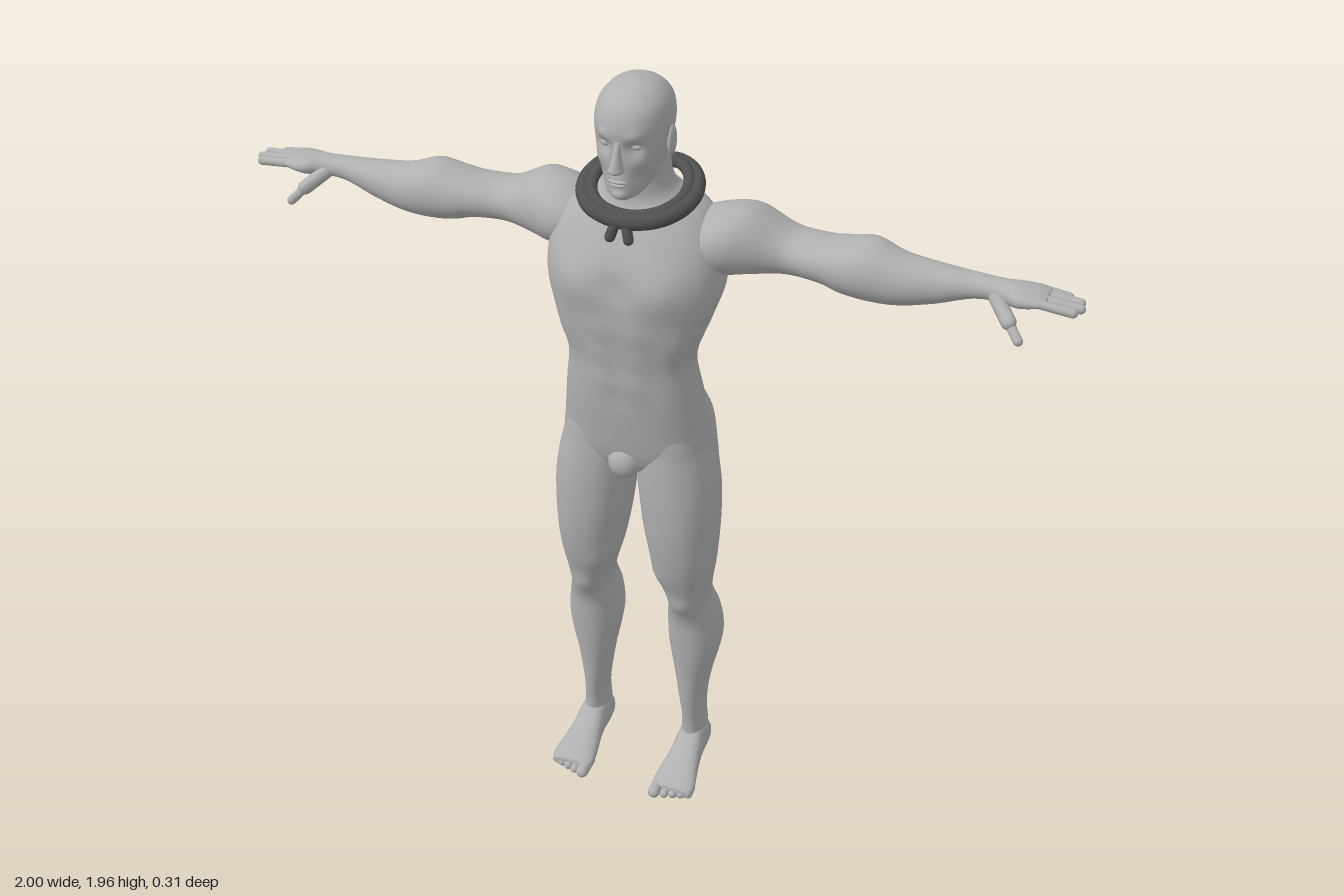
import * as THREE from 'three';

const skin = new THREE.MeshStandardMaterial({ color: 0xb0b0b0 });
skin.name = 'light grey';
const dark = new THREE.MeshStandardMaterial({ color: 0x505050 });
dark.name = 'dark grey';

// Where a ring point (t along the axis, u and v across it) lands in space
const AXES = {
  x: (t, u, v) => new THREE.Vector3(t, u, v),
  y: (t, u, v) => new THREE.Vector3(v, t, u),
  z: (t, u, v) => new THREE.Vector3(u, v, t),
};

// Smooth loft through sections [t, uMin, uMax, vMin, vMax], t ascending.
// Bumps [x, y, z, radius, amount] swell or dent the surface, the same on both sides.
function loft(axis, sections, { power = 2.2, segs = 40, steps = 5, bumps = [] } = {}) {
  const pos = [], idx = [], n = sections.length, rows = (n - 1) * steps + 1;
  const at = (i, k) => sections[Math.min(n - 1, Math.max(0, i))][k];
  const spline = (i, f, k) => {
    const a = at(i - 1, k), b = at(i, k), c = at(i + 1, k), d = at(i + 2, k);
    return b + 0.5 * f * (c - a + f * (2 * a - 5 * b + 4 * c - d + f * (3 * (b - c) + d - a)));
  };
  const round = (s) => Math.sign(s) * Math.abs(s) ** (2 / power);
  const centers = [];
  for (let r = 0; r < rows; r++) {
    const i = Math.min(n - 2, Math.floor(r / steps)), f = r / steps - i;
    const [t, u0, u1, v0, v1] = [0, 1, 2, 3, 4].map((k) => spline(i, f, k));
    const center = AXES[axis](t, (u0 + u1) / 2, (v0 + v1) / 2);
    centers.push(center);
    for (let s = 0; s < segs; s++) {
      const a = (s / segs) * Math.PI * 2;
      const p = AXES[axis](t, (u0 + u1) / 2 + ((u1 - u0) / 2) * round(Math.cos(a)),
        (v0 + v1) / 2 + ((v1 - v0) / 2) * round(Math.sin(a)));
      const out = p.clone().sub(center).normalize();
      let push = 0;
      for (const [x, y, z, radius, amount] of bumps) {
        const d2 = (Math.abs(p.x) - x) ** 2 + (p.y - y) ** 2 + (p.z - z) ** 2;
        push += amount * Math.exp(-d2 / (radius * radius));
      }
      p.addScaledVector(out, push);
      pos.push(p.x, p.y, p.z);
      if (r < rows - 1) {
        const q = r * segs + s, e = r * segs + ((s + 1) % segs);
        idx.push(q, e, q + segs, e, e + segs, q + segs);
      }
    }
  }
  // End caps
  const last = (rows - 1) * segs, c0 = rows * segs;
  pos.push(...centers[0].toArray(), ...centers[rows - 1].toArray());
  for (let s = 0; s < segs; s++) {
    const e = (s + 1) % segs;
    idx.push(c0, e, s, c0 + 1, last + s, last + e);
  }
  const g = new THREE.BufferGeometry();
  g.setAttribute('position', new THREE.Float32BufferAttribute(pos, 3));
  g.setIndex(idx);
  g.computeVertexNormals();
  return g;
}

// Rounded rod between two points
function rod(a, b, radius) {
  const A = new THREE.Vector3(...a), B = new THREE.Vector3(...b), d = B.clone().sub(A);
  const g = new THREE.CapsuleGeometry(radius, d.length(), 6, 14);
  g.applyQuaternion(new THREE.Quaternion().setFromUnitVectors(new THREE.Vector3(0, 1, 0), d.normalize()));
  return g.translate(...A.add(B).multiplyScalar(0.5).toArray());
}

function ellipsoid(x, y, z, rx, ry, rz) {
  return new THREE.SphereGeometry(1, 24, 16).scale(rx, ry, rz).translate(x, y, z);
}

// Copy on the other side of the body, with the corner order turned round
function mirrored(geometry) {
  const g = geometry.clone().scale(-1, 1, 1), i = g.index.array;
  for (let k = 0; k < i.length; k += 3) [i[k], i[k + 1]] = [i[k + 1], i[k]];
  g.computeVertexNormals();
  return g;
}

export function createModel() {
  const model = new THREE.Group();
  model.name = 'figure';
  const add = (name, geometry, material = skin) => {
    const mesh = new THREE.Mesh(geometry, material);
    mesh.name = name;
    model.add(mesh);
  };
  const pair = (name, geometry, material) => {
    add('left ' + name, geometry, material);
    add('right ' + name, mirrored(geometry), material);
  };
  const symmetric = (rows) => rows.map(([y, back, front, half]) => [y, back, front, -half, half]);

  // Torso and neck, with chest, stomach, shoulder blades and spine groove
  const muscles = [[0.09, 1.5, 0.12, 0.06, 0.016], [0, 1.5, 0.13, 0.03, -0.008],
    [0.1, 1.5, -0.12, 0.06, 0.014], [0, 1.21, 0.12, 0.015, -0.006], [0.12, 1.36, 0.08, 0.04, 0.008]];
  for (let y = 1.12; y < 1.6; y += 0.05) muscles.push([0, y, -0.11, 0.035, -0.01]);
  for (const y of [1.39, 1.32, 1.25]) muscles.push([0.04, y, 0.13, 0.03, 0.006]);
  add('torso', loft('y', symmetric([
    [0.965, -0.06, 0.05, 0.03], [0.985, -0.09, 0.08, 0.1], [1.03, -0.11, 0.098, 0.175],
    [1.1, -0.118, 0.11, 0.175], [1.2, -0.092, 0.122, 0.162], [1.3, -0.072, 0.127, 0.152],
    [1.4, -0.1, 0.138, 0.184], [1.48, -0.135, 0.138, 0.207], [1.55, -0.145, 0.126, 0.205],
    [1.61, -0.145, 0.098, 0.185], [1.655, -0.132, 0.07, 0.15], [1.685, -0.108, 0.056, 0.098],
    [1.72, -0.085, 0.056, 0.074], [1.79, -0.075, 0.06, 0.066]]),
  { power: 2.4, segs: 72, bumps: muscles }));
  add('groin', ellipsoid(0, 1.01, 0.082, 0.04, 0.045, 0.034));

  // Head with brow, eye sockets, cheeks, lips and chin
  add('head', loft('y', symmetric([
    [1.708, 0.04, 0.098, 0.02], [1.722, 0.0, 0.112, 0.04], [1.75, -0.045, 0.114, 0.058],
    [1.79, -0.08, 0.115, 0.071], [1.84, -0.094, 0.117, 0.081], [1.88, -0.097, 0.116, 0.084],
    [1.915, -0.088, 0.102, 0.077], [1.94, -0.065, 0.076, 0.058], [1.953, -0.04, 0.048, 0.036],
    [1.96, -0.004, 0.014, 0.008]]),
  { power: 2.15, segs: 72, steps: 8, bumps: [[0.034, 1.838, 0.105, 0.018, -0.013],
    [0.034, 1.859, 0.108, 0.016, 0.006], [0.05, 1.8, 0.09, 0.022, 0.004], [0, 1.757, 0.115, 0.016, 0.006],
    [0, 1.741, 0.115, 0.012, -0.005], [0, 1.724, 0.112, 0.016, 0.006], [0.04, 1.77, 0.09, 0.02, -0.005]] }));
  add('nose', loft('y', symmetric([
    [1.779, 0.1, 0.122, 0.01], [1.787, 0.1, 0.143, 0.017], [1.8, 0.1, 0.142, 0.014],
    [1.825, 0.1, 0.13, 0.009], [1.852, 0.1, 0.118, 0.009]]), { power: 2, segs: 20 }));
  add('upper lip', ellipsoid(0, 1.759, 0.114, 0.022, 0.005, 0.009));
  add('lower lip', ellipsoid(0, 1.75, 0.113, 0.018, 0.005, 0.009));
  pair('eye', ellipsoid(0.034, 1.838, 0.091, 0.014, 0.009, 0.011));
  pair('ear', ellipsoid(0.083, 1.825, 0.006, 0.009, 0.036, 0.02).rotateX(-0.0));

  // Arm from shoulder to palm: sections along x give bottom, top, back, front
  pair('arm', loft('x', [
    [0.1, 1.53, 1.63, -0.11, 0.02], [0.16, 1.51, 1.652, -0.14, 0.05], [0.21, 1.505, 1.664, -0.15, 0.048],
    [0.26, 1.508, 1.661, -0.154, 0.026], [0.34, 1.515, 1.618, -0.15, -0.008], [0.42, 1.515, 1.618, -0.138, 0.002],
    [0.47, 1.503, 1.627, -0.136, 0.012], [0.53, 1.496, 1.638, -0.132, 0.014], [0.6, 1.5, 1.617, -0.116, 0.006],
    [0.68, 1.518, 1.607, -0.104, -0.01], [0.76, 1.546, 1.602, -0.09, -0.024], [0.82, 1.552, 1.6, -0.086, -0.022],
    [0.86, 1.553, 1.599, -0.097, -0.004], [0.9, 1.56, 1.593, -0.102, -0.008], [0.92, 1.568, 1.586, -0.096, -0.016]],
  { power: 2.1, segs: 36 }));
  // Fingers: root z, tip x, tip z
  [[-0.022, 0.978, -0.02], [-0.045, 0.99, -0.043], [-0.067, 0.985, -0.069], [-0.089, 0.955, -0.096]]
    .forEach(([z, tipX, tipZ], i) => {
      pair('finger ' + (i + 1), rod([0.89, 1.578, z], [tipX, 1.571 - (i === 3 ? 0.006 : 0), tipZ], 0.0105));
    });
  pair('thumb base', rod([0.81, 1.568, -0.035], [0.85, 1.535, 0.005], 0.017));
  pair('thumb', rod([0.845, 1.54, 0.0], [0.878, 1.506, 0.026], 0.011));

  // Leg: sections up y give back, front, inner, outer
  pair('leg', loft('y', [
    [0.04, -0.115, -0.02, 0.11, 0.175], [0.09, -0.122, -0.015, 0.108, 0.17], [0.15, -0.118, -0.012, 0.11, 0.166],
    [0.22, -0.119, -0.004, 0.102, 0.169], [0.3, -0.13, 0.003, 0.09, 0.181], [0.37, -0.144, 0.01, 0.077, 0.197],
    [0.43, -0.149, 0.015, 0.069, 0.205], [0.5, -0.136, 0.022, 0.071, 0.198], [0.56, -0.112, 0.042, 0.079, 0.184],
    [0.61, -0.1, 0.056, 0.07, 0.187], [0.7, -0.107, 0.082, 0.044, 0.2], [0.8, -0.118, 0.097, 0.025, 0.206],
    [0.9, -0.12, 0.1, 0.012, 0.206], [0.98, -0.122, 0.098, 0.004, 0.196], [1.04, -0.136, 0.094, 0.003, 0.184],
    [1.1, -0.134, 0.09, 0.008, 0.172], [1.17, -0.098, 0.07, 0.03, 0.145]],
  { segs: 44, bumps: [[0.13, 0.575, 0.045, 0.028, 0.007], [0.08, 0.67, 0.05, 0.04, 0.007]] }));

  // Foot: sections along z give inner, outer, sole, top
  pair('foot', loft('z', [
    [-0.13, 0.125, 0.155, 0.02, 0.05], [-0.118, 0.112, 0.168, 0.004, 0.08], [-0.08, 0.104, 0.175, 0.0, 0.115],
    [-0.03, 0.102, 0.178, 0.002, 0.114], [0.015, 0.098, 0.183, 0.003, 0.083], [0.06, 0.09, 0.192, 0.002, 0.062],
    [0.1, 0.086, 0.199, 0.002, 0.046], [0.125, 0.09, 0.192, 0.006, 0.034]],
  { power: 2.3, segs: 32 }));
  for (let i = 0; i < 5; i++) {
    const r = i === 0 ? 0.016 : 0.0115, x = [0.102, 0.127, 0.148, 0.168, 0.187][i];
    pair('toe ' + (i + 1), rod([x, 0.02, 0.09], [x, r + 0.003, 0.139 - i * 0.007], r));
  }

  // Neck ring: two nested tubes, dipping inward at the back and low at the front
  const half = [[0.075, 1.662, 0.078], [0.118, 1.675, 0.028], [0.127, 1.69, -0.035],
    [0.1, 1.704, -0.095], [0.052, 1.712, -0.122]];
  const ring = [[0, 1.654, 0.095], ...half, [0, 1.714, -0.104],
    ...half.slice().reverse().map(([x, y, z]) => [-x, y, z])];
  for (const [name, scale, lift, radius] of [['outer', 1, 0, 0.018], ['inner', 0.86, 0.008, 0.014]]) {
    const path = new THREE.CatmullRomCurve3(
      ring.map(([x, y, z]) => new THREE.Vector3(x * scale, y + lift, (z + 0.015) * scale - 0.015)), true);
    add(name + ' neck ring', new THREE.TubeGeometry(path, 96, radius, 14, true), dark);
  }
  pair('ring tail', rod([0.012, 1.652, 0.098], [0.022, 1.618, 0.108], 0.012), dark);

  return model;
}
